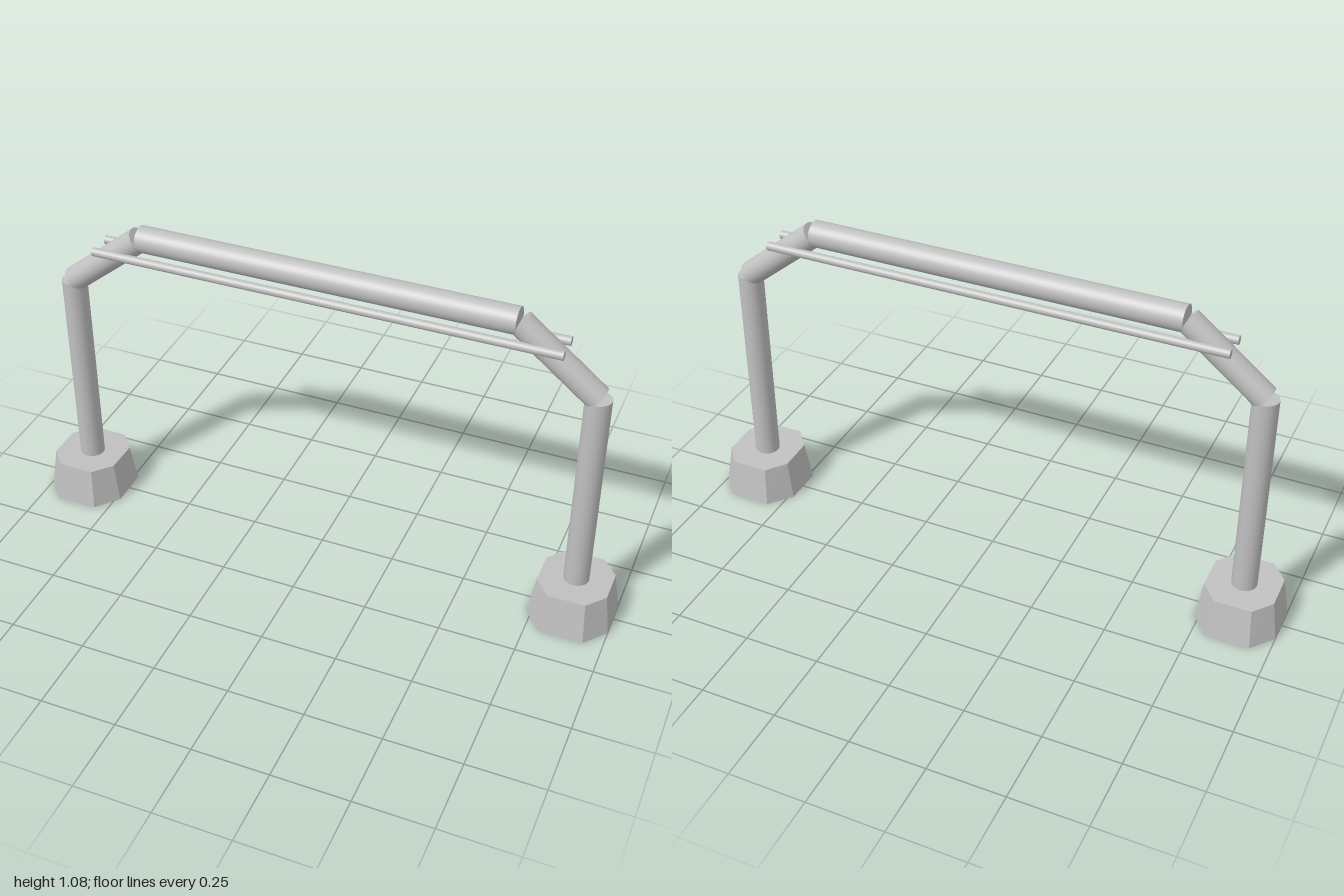
import * as THREE from 'three';

const grey = new THREE.MeshStandardMaterial({ color: 0xc0c0c0 });
grey.name = 'concreteGrey';

// Capped round bar between two points
function bar(name, from, to, radius) {
  const a = new THREE.Vector3(...from);
  const b = new THREE.Vector3(...to);
  const dir = b.clone().sub(a);
  const mesh = new THREE.Mesh(new THREE.CylinderGeometry(radius, radius, dir.length(), 32), grey);
  mesh.position.copy(a).add(b).multiplyScalar(0.5);
  mesh.quaternion.setFromUnitVectors(new THREE.Vector3(0, 1, 0), dir.normalize());
  mesh.name = name;
  return mesh;
}

// Tapered eight-sided footing with a slightly sloping top
function footingGeometry() {
  const geo = new THREE.CylinderGeometry(1, 1, 1, 8, 1, false, Math.PI / 8).toNonIndexed();
  const p = geo.attributes.position;
  const corner = (v, flat, full) => Math.sign(v) * (Math.abs(v) > 0.6 ? full : Math.abs(v) > 0.1 ? flat : 0);
  for (let i = 0; i < p.count; i++) {
    const top = p.getY(i) > 0;
    const scale = top ? 0.85 : 1;
    const x = corner(p.getX(i), 0.071, 0.133) * scale;
    const z = corner(p.getZ(i), 0.068, 0.142) * scale;
    p.setXYZ(i, x, top ? 0.132 + z * 0.033 : 0, z);
  }
  geo.computeVertexNormals();
  return geo;
}

export function createModel() {
  const model = new THREE.Group();
  model.name = 'pipeFrame';
  const footing = footingGeometry();

  // Two mirrored legs: footing, post and sloping brace
  for (const [side, s] of [['left', 1], ['right', -1]]) {
    const base = new THREE.Mesh(footing, grey);
    base.name = side + 'Footing';
    base.position.x = s * 0.867;
    model.add(base);
    model.add(bar(side + 'Post', [s * 0.867, 0.1, 0], [s * 0.867, 0.828, 0], 0.041));
    model.add(bar(side + 'Brace', [s * 0.865, 0.829, 0], [s * 0.616, 1.029, 0], 0.041));
  }

  // Top beam and the two thin rails beside it
  model.add(bar('topBeam', [-0.612, 1.033, 0], [0.612, 1.033, 0], 0.043));
  model.add(bar('frontRail', [-0.761, 0.975, 0.041], [0.761, 0.975, 0.041], 0.014));
  model.add(bar('backRail', [-0.761, 0.975, -0.041], [0.761, 0.975, -0.041], 0.014));
  return model;
}
